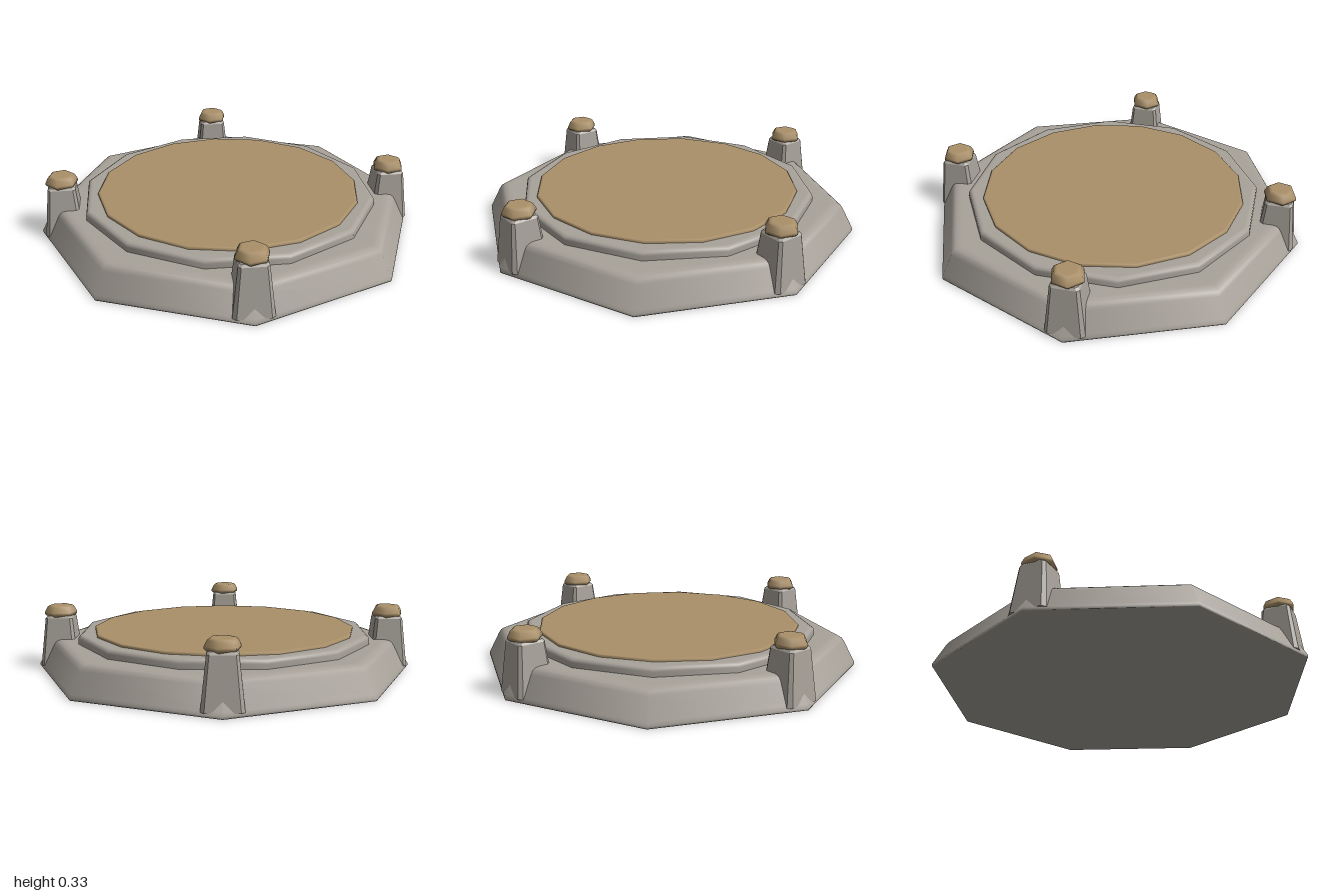
import * as THREE from 'three';

const stone = new THREE.MeshStandardMaterial({ color: 0xa8a29a });
stone.name = 'stone';
const bronze = new THREE.MeshStandardMaterial({ color: 0xaa9069 });
bronze.name = 'bronze';

// Smooth-shaded turned part with a small number of sides
function turned(name, profile, sides, material) {
  const points = profile.map(([r, y]) => new THREE.Vector2(r, y));
  const mesh = new THREE.Mesh(new THREE.LatheGeometry(points, sides), material);
  mesh.name = name;
  return mesh;
}

// Tapered square section with chamfered corners pointing along x and z
function postSection(rTop, rBottom, y0, y1) {
  const geo = new THREE.CylinderGeometry(rTop, rBottom, y1 - y0, 8, 1);
  const p = geo.attributes.position;
  for (let i = 0; i < p.count; i++) {
    const x = p.getX(i), z = p.getZ(i), r = Math.hypot(x, z);
    if (r < 1e-6) continue;
    const k = Math.round(Math.atan2(x, z) / (Math.PI / 4) + 8) % 8;
    const a = Math.floor(k / 2) * Math.PI / 2 + (k % 2 ? 0.1 : -0.1);
    p.setX(i, r * Math.sin(a));
    p.setZ(i, r * Math.cos(a));
  }
  geo.translate(0, (y0 + y1) / 2, 0);
  const flat = geo.toNonIndexed();
  flat.computeVertexNormals();
  return flat;
}

// Corner post with a bevelled top and a faceted knob
function cornerPost() {
  const post = new THREE.Group();
  post.name = 'cornerPost';
  const shaft = new THREE.Mesh(postSection(0.092, 0.127, 0.02, 0.27), stone);
  shaft.name = 'postShaft';
  const bevel = new THREE.Mesh(postSection(0.08, 0.092, 0.27, 0.282), stone);
  bevel.name = 'postBevel';
  const knob = turned('postKnob', [
    [0, 0.275], [0.072, 0.275], [0.085, 0.287], [0.085, 0.298],
    [0.07, 0.326], [0.06, 0.333], [0.05, 0.334], [0, 0.334],
  ], 6, bronze);
  post.add(shaft, bevel, knob);
  return post;
}

export function createModel() {
  const model = new THREE.Group();
  model.name = 'pedestal';

  // Eight-sided base
  model.add(turned('base', [
    [0, 0], [0.985, 0], [0.998, 0], [1, 0.004], [1, 0.014], [0.992, 0.028],
    [0.94, 0.128], [0.928, 0.146], [0.912, 0.156], [0.89, 0.16], [0.87, 0.16], [0, 0.16],
  ], 8, stone));

  // Twelve-sided raised ring
  model.add(turned('raisedRing', [
    [0.778, 0.15], [0.778, 0.185], [0.774, 0.198], [0.762, 0.205], [0.75, 0.206], [0, 0.206],
  ], 12, stone));

  // Sixteen-sided inlaid disc
  model.add(turned('inlaidDisc', [
    [0.695, 0.2], [0.695, 0.214], [0.69, 0.219], [0.68, 0.22], [0, 0.22],
  ], 16, bronze));

  // Four posts on the diagonal corners
  for (const sx of [-1, 1]) for (const sz of [-1, 1]) {
    const post = cornerPost();
    post.position.set(sx * 0.62, 0, sz * 0.62);
    model.add(post);
  }
  return model;
}
